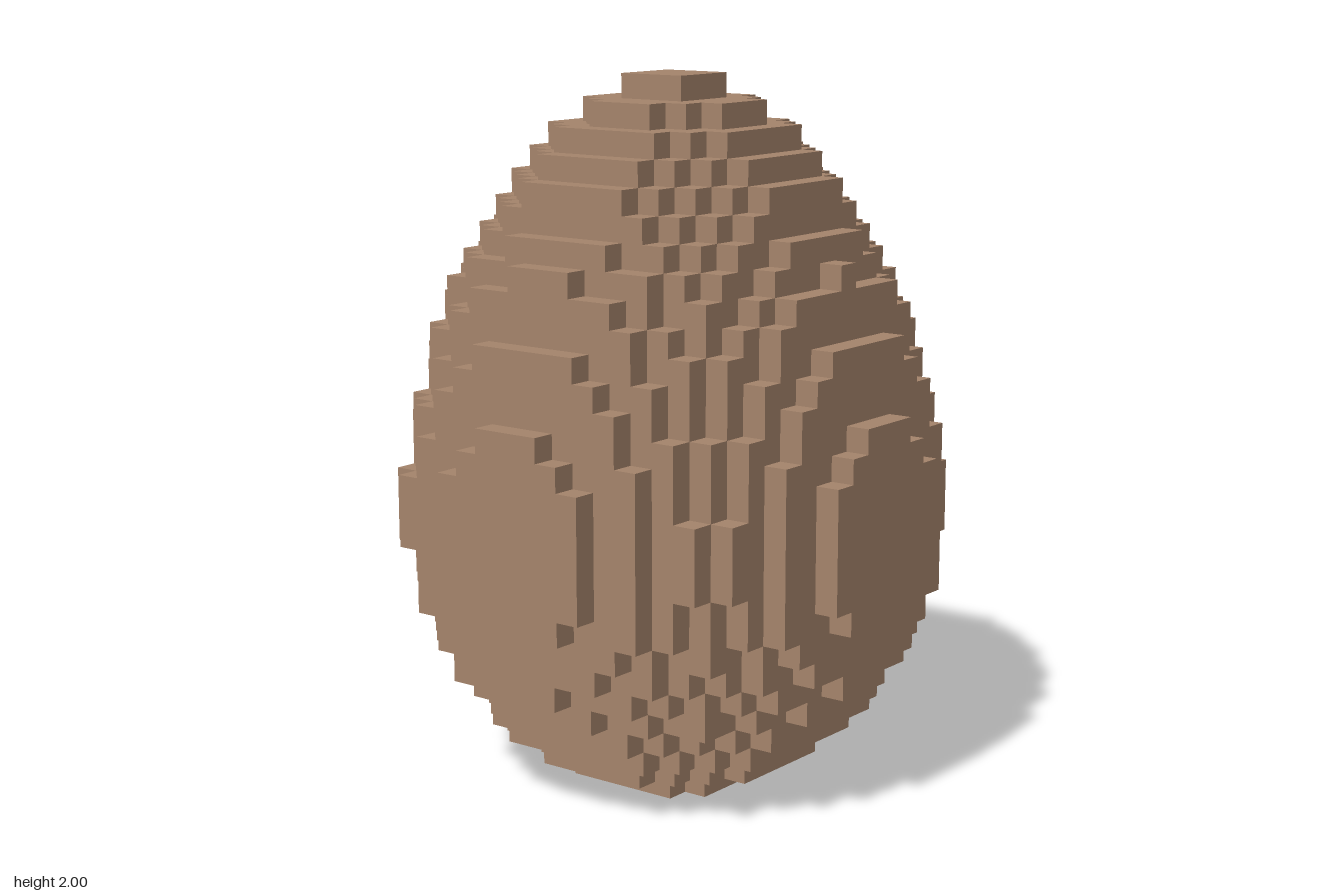
import * as THREE from 'three';

const UNIT = 2 / 29; // edge of one block

// squared radius, in blocks, of each layer from the bottom to the top
const LAYERS = [
  13.2, 30.6, 46.4, 60.4, 72.8, 83.5, 92.6, 99.9, 107, 110, 113.5, 113.5, 113.5, 111,
  107, 102, 98, 93, 87, 80.5, 73.5, 65.02, 57, 48, 40.5, 31, 22, 12, 2.1,
];

// stepped outline of a disc made of square blocks
function discShape(r2) {
  const n = Math.floor(Math.sqrt(r2 / 1.001));
  const side = [];
  for (let z = -n; z <= n; z++) {
    const w = Math.floor(Math.sqrt(r2 - 1.001 * z * z)) + 0.5;
    const last = side[side.length - 1];
    if (last && last.x === w) last.y = z + 0.5; // same width: lengthen the step
    else side.push(new THREE.Vector2(w, z - 0.5), new THREE.Vector2(w, z + 0.5));
  }
  const mirrored = side.map((p) => new THREE.Vector2(-p.x, p.y)).reverse();
  const points = [...side, ...mirrored].map((p) => p.multiplyScalar(UNIT));
  return new THREE.Shape(points);
}

export function createModel() {
  const group = new THREE.Group();
  group.name = 'blockEgg';
  const shell = new THREE.MeshStandardMaterial({ color: 0xa5846b });
  shell.name = 'brown shell';

  // one flat slab of blocks per layer
  LAYERS.forEach((r2, i) => {
    const geometry = new THREE.ExtrudeGeometry(discShape(r2), { depth: UNIT, bevelEnabled: false });
    geometry.rotateX(-Math.PI / 2);
    const layer = new THREE.Mesh(geometry, shell);
    layer.name = `eggLayer${i + 1}`;
    layer.position.y = i * UNIT;
    group.add(layer);
  });
  return group;
}
